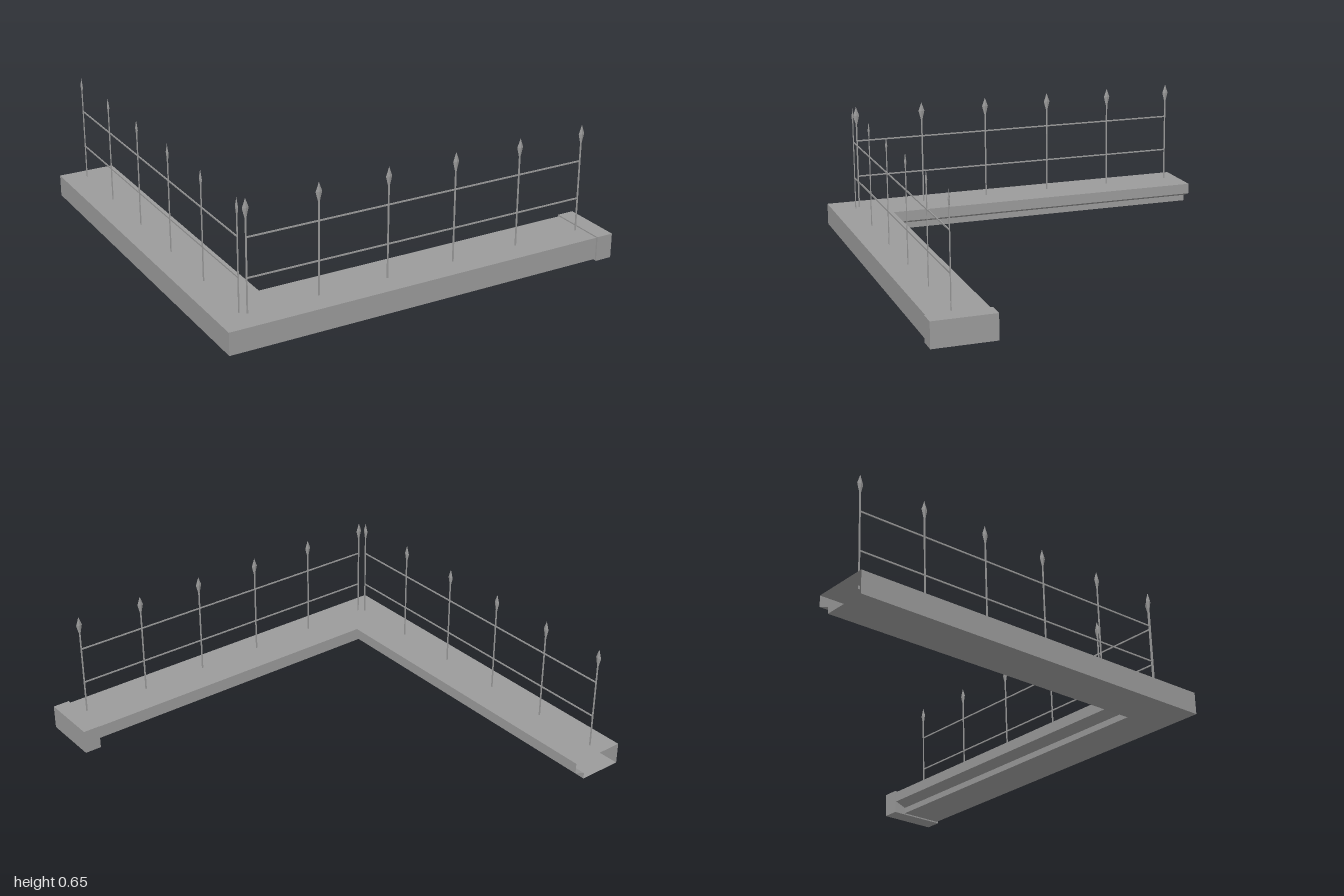
import * as THREE from 'three';

const stone = new THREE.MeshStandardMaterial({ color: 0x9b9b9b, flatShading: true, side: THREE.DoubleSide });

function add(parent, name, geometry, x = 0, y = 0, z = 0) {
  const mesh = new THREE.Mesh(geometry, stone);
  mesh.name = name;
  mesh.position.set(x, y, z);
  parent.add(mesh);
  return mesh;
}

// Sweeps the ledge section [distance from outer wall, height] around a mitred corner
function ledgeGeometry() {
  const section = [[0, 0.007], [0, 0.116], [0.286, 0.116], [0.286, 0.062], [0.226, 0.038], [0.226, 0.007]];
  const n = section.length;
  const stations = [
    d => [-1 + d, -0.984],
    d => [-1 + d, 0.975 - d],
    d => [0.93, 0.975 - d],
  ];
  const positions = [];
  const index = [];
  for (const station of stations) {
    for (const [d, y] of section) {
      const [x, z] = station(d);
      positions.push(x, y, z);
    }
  }
  for (let s = 0; s < stations.length - 1; s++) {
    for (let k = 0; k < n; k++) {
      const a = s * n + k;
      const b = s * n + (k + 1) % n;
      index.push(a, a + n, b, b, a + n, b + n);
    }
  }
  const geometry = new THREE.BufferGeometry();
  geometry.setAttribute('position', new THREE.Float32BufferAttribute(positions, 3));
  geometry.setIndex(index);
  const flat = geometry.toNonIndexed();
  flat.computeVertexNormals();
  return flat;
}

// A run of thin posts with spear tips and two rails, centred on its own x axis
function createFence(name, length) {
  const fence = new THREE.Group();
  fence.name = name;
  const count = 6;
  const postGeometry = new THREE.BoxGeometry(0.007, 0.47, 0.004);
  const tipGeometry = new THREE.LatheGeometry(
    [[0, 0.55], [0.005, 0.56], [0.016, 0.603], [0, 0.648]].map(p => new THREE.Vector2(...p)), 4);
  tipGeometry.scale(1, 1, 0.35);
  for (let i = 0; i < count; i++) {
    const x = -length / 2 + length * i / (count - 1);
    add(fence, 'post', postGeometry, x, 0.335, 0);
    add(fence, 'spearTip', tipGeometry, x, 0, 0);
  }
  for (const y of [0.281, 0.469]) {
    add(fence, 'rail', new THREE.BoxGeometry(length, 0.007, 0.004), 0, y, 0);
  }
  return fence;
}

export function createModel() {
  const model = new THREE.Group();
  model.name = 'cornerBalcony';

  // Hollow L-shaped ledge, open at the back end
  add(model, 'ledge', ledgeGeometry());

  // Slightly larger block closing the right end
  add(model, 'endBlock', new THREE.BoxGeometry(0.085, 0.122, 0.301), 0.9575, 0.061, 0.8335);

  // Railings along both arms
  const frontFence = createFence('frontFence', 1.737);
  frontFence.position.set(0.014, 0, 0.857);
  const sideFence = createFence('sideFence', 1.74);
  sideFence.rotation.y = Math.PI / 2;
  sideFence.position.set(-0.882, 0, -0.038);
  model.add(frontFence, sideFence);

  return model;
}
